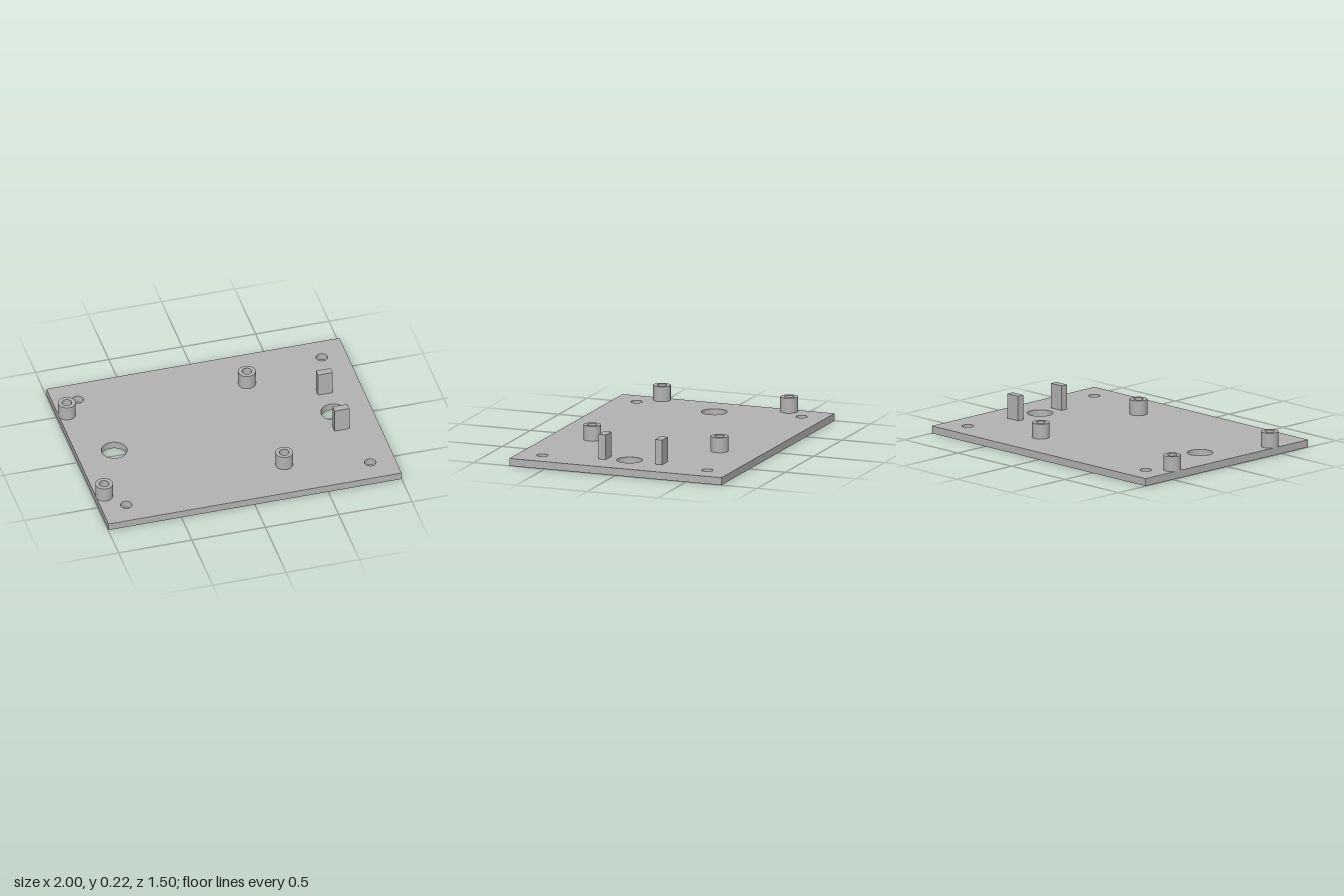
import * as THREE from 'three';

const PLATE_TOP = 0.05;

// Shape with round holes, extruded upward from height y
function extrudeUp(shape, holes, height, y) {
  for (const [x, z, r] of holes) {
    const hole = new THREE.Path();
    hole.absarc(x, -z, r, 0, Math.PI * 2, true);
    shape.holes.push(hole);
  }
  const geometry = new THREE.ExtrudeGeometry(shape, { depth: height, bevelEnabled: false, curveSegments: 32 });
  return geometry.rotateX(-Math.PI / 2).translate(0, y, 0);
}

export function createModel() {
  const model = new THREE.Group();
  model.name = 'mountingPlate';
  const grey = new THREE.MeshStandardMaterial({ color: 0xb3b3b3 });
  grey.name = 'grey plastic';

  function add(name, geometry, x = 0, y = 0, z = 0) {
    const mesh = new THREE.Mesh(geometry, grey);
    mesh.name = name;
    mesh.position.set(x, y, z);
    model.add(mesh);
  }

  // Base plate with corner screw holes and two large cable holes
  const outline = new THREE.Shape([
    new THREE.Vector2(-0.997, -0.748), new THREE.Vector2(1, -0.748),
    new THREE.Vector2(1, 0.748), new THREE.Vector2(-0.997, 0.748),
  ]);
  const holes = [];
  for (const side of [-1, 1]) {
    holes.push([side * 0.748 + 0.0015, 0, 0.085]);
    for (const end of [-1, 1]) holes.push([side * 0.831 + 0.0015, end * 0.582, 0.038]);
  }
  add('basePlate', extrudeUp(outline, holes, PLATE_TOP, 0));

  // Hollow standoffs: outer wall, top ring and bore in one smooth-walled profile
  const bore = 0.032, outer = 0.058, height = 0.1;
  const ring = new THREE.Shape();
  ring.absarc(0, 0, outer, 0, Math.PI * 2, false);
  const wall = new THREE.CylinderGeometry(outer, outer, height, 48, 1, true);
  const boreWall = new THREE.LatheGeometry([new THREE.Vector2(bore, height / 2), new THREE.Vector2(bore, -height / 2)], 48);
  const rim = new THREE.RingGeometry(bore, outer, 48).rotateX(-Math.PI / 2);
  for (const x of [-0.942, 0.285]) {
    for (const z of [-0.449, 0.449]) {
      add('standoffWall', wall, x, PLATE_TOP + height / 2, z);
      add('standoffBore', boreWall, x, PLATE_TOP + height / 2, z);
      add('standoffRim', rim, x, PLATE_TOP + height, z);
    }
  }
  // Undersides of the standoffs that overhang the plate edge
  const foot = new THREE.RingGeometry(bore, outer, 48).rotateX(Math.PI / 2);
  for (const z of [-0.449, 0.449]) add('standoffFoot', foot, -0.942, PLATE_TOP, z);

  // Upright tabs beside the large hole
  const tab = new THREE.BoxGeometry(0.1, 0.166, 0.05);
  for (const z of [-0.225, 0.174]) add('uprightTab', tab, 0.749, PLATE_TOP + 0.083, z);

  return model;
}
